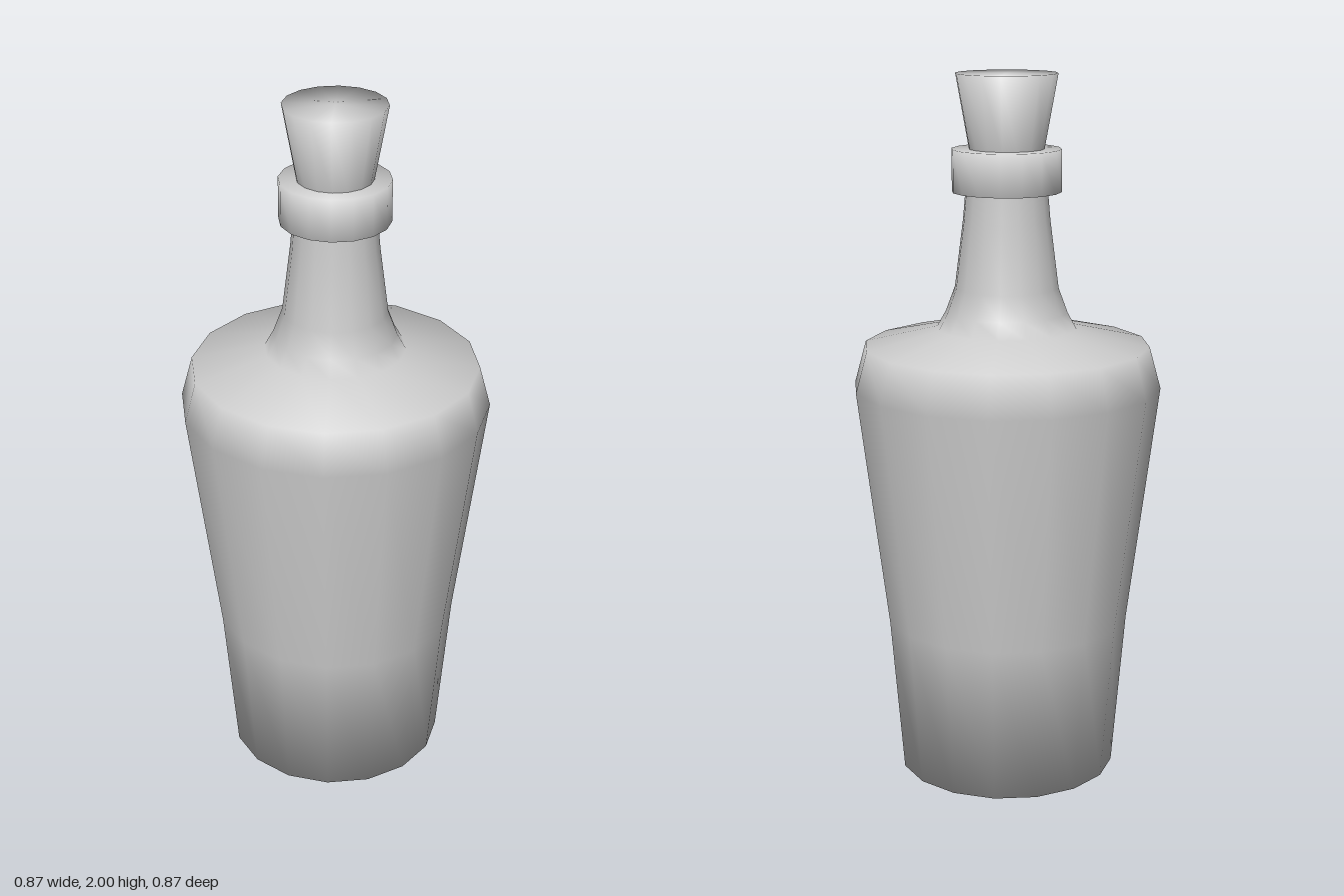
import * as THREE from 'three';

const SIDES = 16;

// Turn a [radius, height] profile, listed bottom to top, into a smooth solid.
function turned(name, profile, material) {
  const points = profile.map(([r, y]) => new THREE.Vector2(r, y));
  const mesh = new THREE.Mesh(new THREE.LatheGeometry(points, SIDES), material);
  mesh.name = name;
  return mesh;
}

export function createModel() {
  const group = new THREE.Group();
  group.name = 'bottle';
  const glass = new THREE.MeshStandardMaterial({ color: 0xcccccc });

  // Tapered body, sloping shoulder and flared neck
  group.add(turned('body', [
    [0, 0], [0.31, 0],            // base
    [0.348, 0.45], [0.435, 1.13], // widening wall
    [0.403, 1.247], [0.197, 1.295], // shoulder
    [0.172, 1.34], [0.146, 1.41], [0.122, 1.6], [0.115, 1.68], // neck
  ], glass));

  // Lip ring around the mouth
  group.add(turned('collar', [
    [0.115, 1.677], [0.153, 1.677], [0.153, 1.795], [0, 1.795],
  ], glass));

  // Flared stopper
  group.add(turned('stopper', [
    [0.104, 1.79], [0.142, 2], [0, 2],
  ], glass));

  return group;
}
